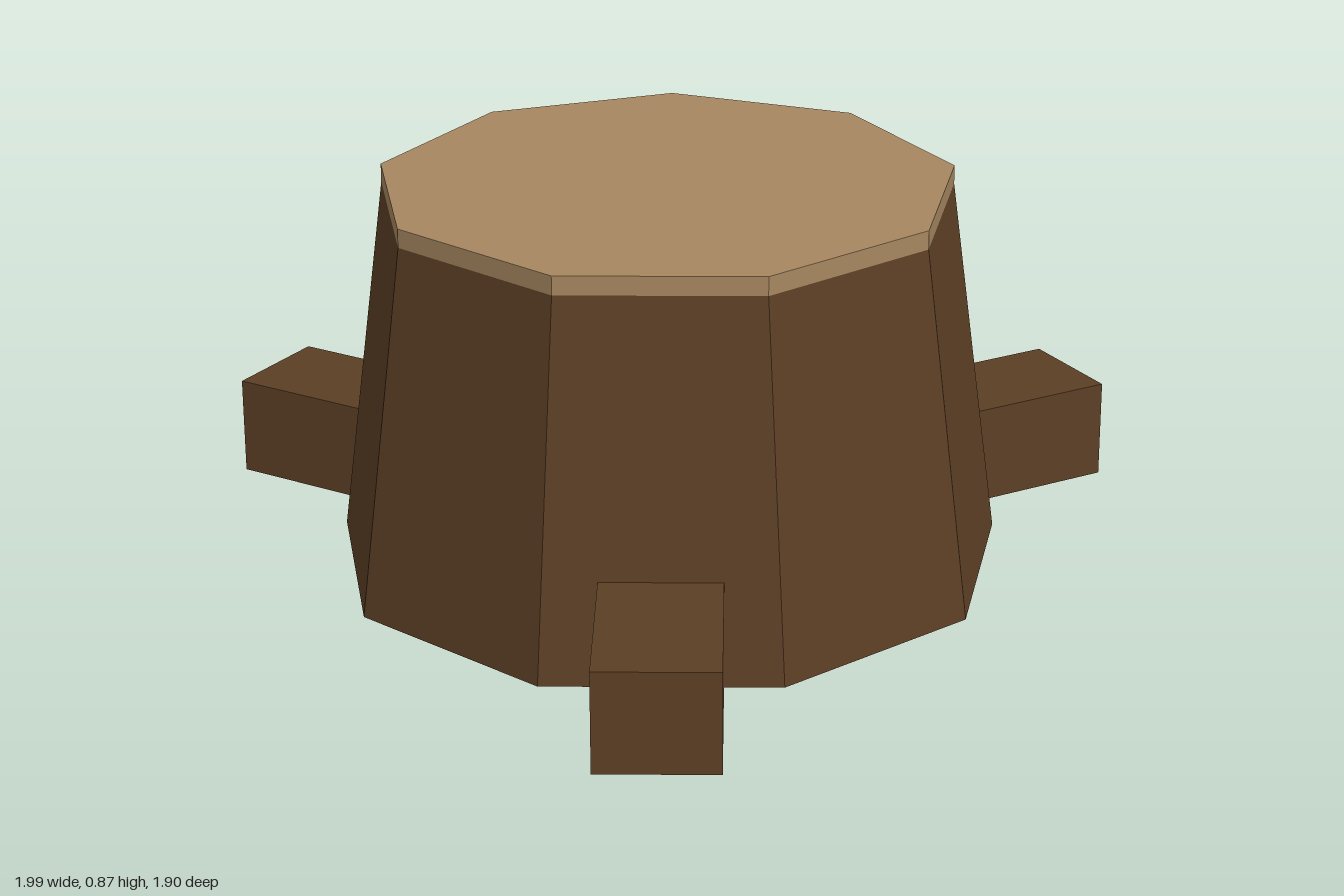
import * as THREE from 'three';

export function createModel() {
  const bark = new THREE.MeshStandardMaterial({ color: 0x5c3f25, flatShading: true });
  bark.name = 'bark';
  const wood = new THREE.MeshStandardMaterial({ color: 0xa78760, flatShading: true });
  wood.name = 'cut wood';

  const model = new THREE.Group();
  model.name = 'treeStump';
  const stump = new THREE.Group();
  stump.name = 'stump';
  stump.position.set(-0.075, 0, -0.15);
  model.add(stump);

  const SIDES = 9, RIM = 0.83, TOP = 0.872;

  // Nine-sided tapering disc with a corner pointing to +x
  function drum(name, rTop, rBottom, y0, y1, material) {
    const geo = new THREE.CylinderGeometry(rTop, rBottom, y1 - y0, SIDES, 1, false, Math.PI / 2);
    geo.translate(0, (y0 + y1) / 2, 0);
    const mesh = new THREE.Mesh(geo, material);
    mesh.name = name;
    stump.add(mesh);
  }
  drum('trunk', 0.642, 0.753, 0, RIM, bark);
  drum('cutTop', 0.642, 0.642, RIM, TOP, wood);

  // Three square roots, each leaving the middle of a trunk side
  const INNER = 0.55, OUTER = 1.093;
  [['leftRoot', -20], ['frontRoot', 100], ['rightRoot', 220]].forEach(([name, degrees]) => {
    const geo = new THREE.BoxGeometry(OUTER - INNER, 0.226, 0.262);
    geo.translate((OUTER + INNER) / 2, 0.113, 0);
    const root = new THREE.Mesh(geo, bark);
    root.name = name;
    root.rotation.y = -THREE.MathUtils.degToRad(degrees);
    stump.add(root);
  });

  return model;
}
